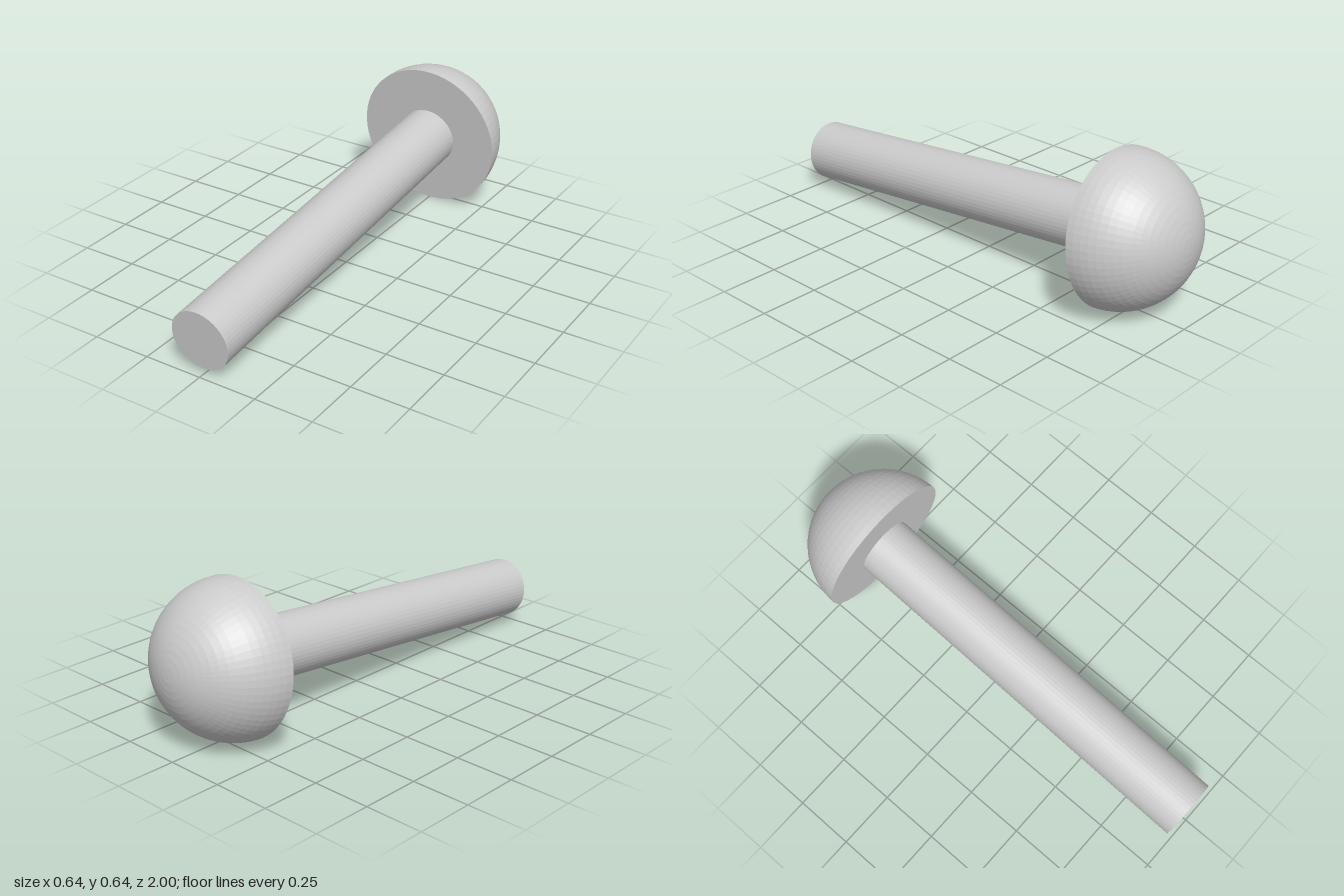
import * as THREE from 'three';

export function createModel() {
  const headRadius = 0.3215, shaftRadius = 0.128, shaftLength = 1.674, tilt = 0.1;
  const material = new THREE.MeshStandardMaterial({ color: 0xcccccc, flatShading: true });
  const model = new THREE.Group();
  model.name = 'rivet';

  const add = (name, geometry) => {
    const mesh = new THREE.Mesh(geometry, material);
    mesh.name = name;
    model.add(mesh);
    return mesh;
  };

  // Domed head: a closed half ball, flat side towards +y before turning
  const rings = 16;
  const profile = [];
  for (let i = 0; i <= rings; i++) {
    const a = (i / rings) * Math.PI / 2;
    profile.push(new THREE.Vector2(i ? headRadius * Math.sin(a) : 0, i < rings ? -headRadius * Math.cos(a) : 0));
  }
  profile.push(new THREE.Vector2(0, 0));
  add('head', new THREE.LatheGeometry(profile, 64));

  // Straight round shaft rising from the flat side
  add('shaft', new THREE.CylinderGeometry(shaftRadius, shaftRadius, shaftLength, 48))
    .position.y = shaftLength / 2;

  // Lay it down so the head rim and the dome carry it, shaft end dipping forward
  model.rotation.x = Math.PI / 2 + tilt;
  model.position.set(0, headRadius * Math.cos(tilt), headRadius - 1);

  const root = new THREE.Group();
  root.add(model);
  return root;
}
